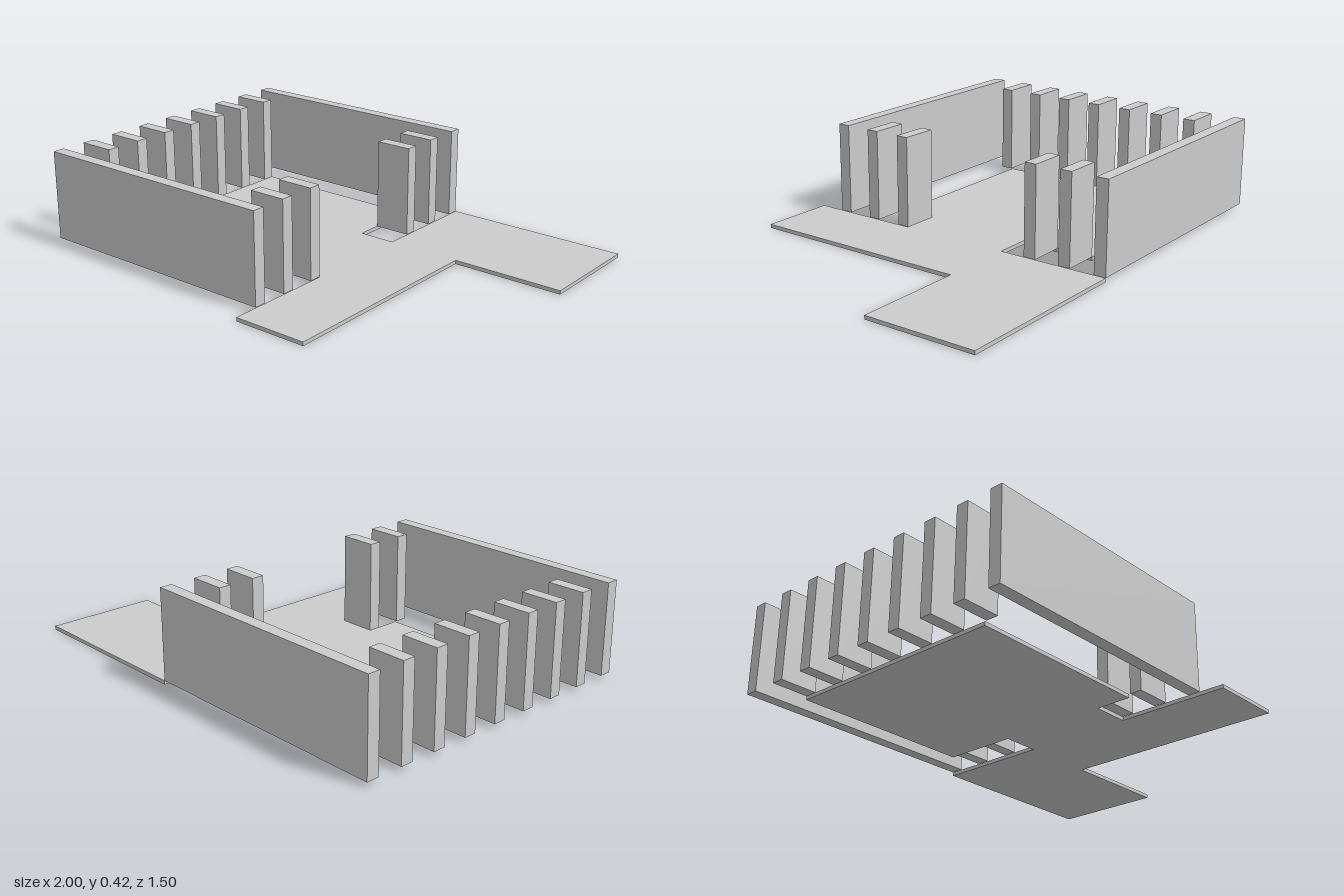
import * as THREE from 'three';

const S = 1 / 6; // wall spacing and grid step
const PLATE = 0.0167, TOP = 0.417, THICK = 0.055;

export function createModel() {
  const model = new THREE.Group();
  const material = new THREE.MeshStandardMaterial({ color: 0xcccccc, flatShading: true });

  // Floor plate: room, doorway neck and L-shaped terrace, outlined as [x, z]
  const outline = [
    [-5 * S, -3.5 * S], [0, -3.5 * S], [0, -0.25], [S, -0.25], [S, -0.75], [1, -0.75],
    [1, -0.25], [0.5, -0.25], [0.5, 0.75], [S, 0.75], [S, 0.25], [0, 0.25], [0, 0.41], [-5 * S, 0.41],
  ];
  const shape = new THREE.Shape(outline.map(([x, z]) => new THREE.Vector2(x, -z)));
  const floorGeometry = new THREE.ExtrudeGeometry(shape, { depth: PLATE, bevelEnabled: false });
  floorGeometry.rotateX(-Math.PI / 2);
  const floor = new THREE.Mesh(floorGeometry, material);
  floor.name = 'floorPlate';
  model.add(floor);

  // Upright slab from x0 to x1 in the given row, counted from the back
  const addSlab = (name, x0, x1, row) => {
    const slab = new THREE.Mesh(new THREE.BoxGeometry(x1 - x0, TOP - PLATE, THICK), material);
    slab.position.set((x0 + x1) / 2, (TOP + PLATE) / 2, -0.75 + row * S + THICK / 2);
    slab.name = name;
    model.add(slab);
  };

  // Long side walls
  addSlab('backWall', -1, 0.165, 0);
  addSlab('frontWall', -1, 0.165, 8);

  // Fin rows at both ends; the +x row leaves a wide opening
  for (let row = 1; row <= 7; row++) addSlab('rightFin' + row, -1, -5 * S, row);
  for (const row of [1, 2, 6, 7]) addSlab('leftFin' + row, 0, 0.165, row);

  return model;
}
